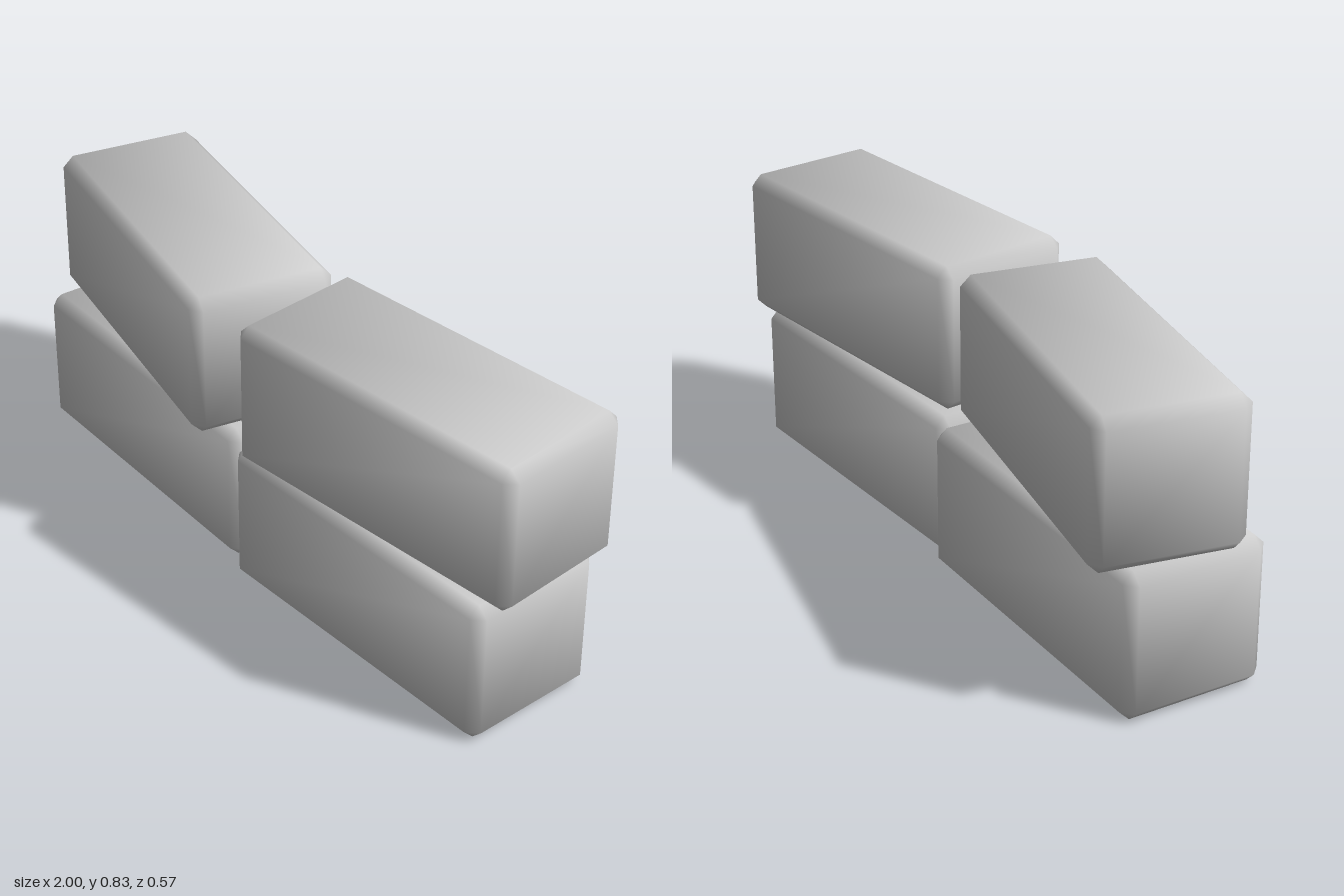
import * as THREE from 'three';
import { ConvexGeometry } from 'three/addons/geometries/ConvexGeometry.js';

const HALF = [0.4725, 0.207, 0.206];
const BEVEL = 0.03;

// Brick with one chamfer along every edge, shaded smoothly across it
function brickGeometry() {
  const points = [];
  for (const sx of [-1, 1]) for (const sy of [-1, 1]) for (const sz of [-1, 1]) {
    for (let axis = 0; axis < 3; axis++) {
      const p = HALF.map((h, i) => (i === axis ? h : h - BEVEL));
      points.push(new THREE.Vector3(p[0] * sx, p[1] * sy, p[2] * sz));
    }
  }
  const geometry = new ConvexGeometry(points);
  const pos = geometry.attributes.position;
  const normal = geometry.attributes.normal;
  const n = new THREE.Vector3();
  for (let i = 0; i < pos.count; i++) {
    // Each corner leans mostly to its own large face, partly to its neighbours
    const d = [pos.getX(i), pos.getY(i), pos.getZ(i)].map(
      (v, k) => Math.sign(v) * (Math.abs(v) > HALF[k] - BEVEL / 2 ? 1 : 0.43));
    n.fromArray(d).normalize();
    normal.setXYZ(i, n.x, n.y, n.z);
  }
  return geometry;
}

export function createModel() {
  const group = new THREE.Group();
  group.name = 'brickStack';
  const geometry = brickGeometry();
  const material = new THREE.MeshStandardMaterial({ color: 0xcccccc });

  // Two courses of two bricks, each turned a little: name, x, course, z, degrees
  const bricks = [
    ['lowerRightBrick', -0.497, 0, -0.004, 0],
    ['lowerLeftBrick', 0.467, 0, 0, 3.7],
    ['upperRightBrick', -0.503, 1, -0.002, -10.6],
    ['upperLeftBrick', 0.508, 1, -0.002, 7.4],
  ];
  for (const [name, x, course, z, degrees] of bricks) {
    const brick = new THREE.Mesh(geometry, material);
    brick.name = name;
    brick.position.set(x, HALF[1] * (1 + 2 * course), z);
    brick.rotation.y = THREE.MathUtils.degToRad(degrees);
    group.add(brick);
  }
  return group;
}
